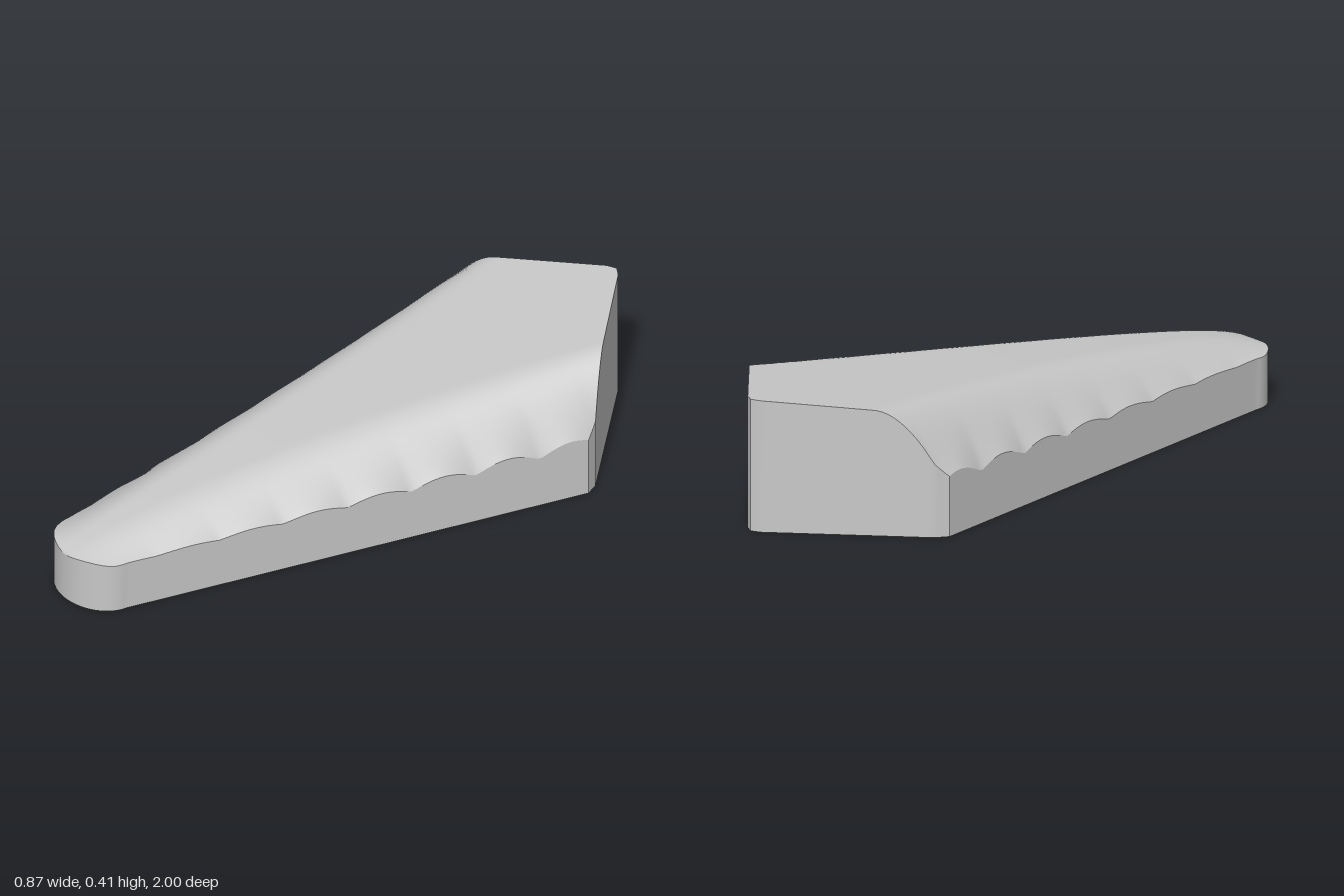
import * as THREE from 'three';
import { toCreasedNormals } from 'three/addons/utils/BufferGeometryUtils.js';

// Half outline as [z, half width]: back tip, back corner, start of the round nose
const OUTLINE = [[-1, 0], [-0.985, 0.03], [-0.635, 0.412], [-0.595, 0.433], [0.88, 0.15]];
const NOSE_STEPS = 16;
const COLUMNS = 56;

const { lerp, clamp } = THREE.MathUtils;
const sideLine = (z) => 0.433 - 0.1919 * (z + 0.595);

// Height of the crowned top: flat middle, rounded shoulders, scalloped lower edge
function topHeight(x, z) {
  const ridge = 0.155 + 0.257 * Math.pow(Math.max(0, (1 - z) / 2), 0.613);
  const back = clamp((0.95 - z) / 1.55, 0, 1);
  const u = Math.min(1, Math.abs(x) / sideLine(z));
  const flat = clamp(0.6 - 0.29 * (z + 0.75), 0.1, 0.6);
  const t = clamp((1 - u) / (1 - flat), 0, 1);
  const rim = 0.157 + 0.042 * back;
  const arch = Math.abs(Math.sin(Math.PI * (z + 0.03) / 0.205));
  const scallop = 0.034 * back * (1 - arch) * Math.pow(1 - t, 5);
  return lerp(Math.min(rim, ridge), ridge, Math.sin(t * Math.PI / 2)) - scallop;
}

// Rows along the length, each with its half width
function makeRows() {
  const rows = [];
  const steps = [2, 30, 4, 110];
  for (let i = 0; i < 4; i++) {
    const [z0, w0] = OUTLINE[i], [z1, w1] = OUTLINE[i + 1];
    for (let k = 0; k < steps[i]; k++) {
      const f = k / steps[i];
      rows.push([lerp(z0, z1, f), lerp(w0, w1, f)]);
    }
  }
  for (let k = 0; k <= NOSE_STEPS; k++) {
    const a = (k / NOSE_STEPS) * Math.PI / 2;
    rows.push([0.88 + 0.12 * Math.sin(a), k === NOSE_STEPS ? 0 : 0.15 * Math.cos(a)]);
  }
  return rows;
}

function gridGeometry(positions, index) {
  const g = new THREE.BufferGeometry();
  g.setAttribute('position', new THREE.Float32BufferAttribute(positions, 3));
  g.setIndex(index);
  return g;
}

function topGeometry(rows) {
  const pos = [], index = [], n = COLUMNS + 1;
  rows.forEach(([z, w], r) => {
    for (let c = 0; c < n; c++) {
      // columns crowd towards the rims
      const x = w * Math.sin((c / COLUMNS - 0.5) * Math.PI);
      pos.push(x, topHeight(x, z), z);
      if (r < rows.length - 1 && c < COLUMNS) {
        const a = r * n + c, b = a + 1, d = a + n, e = d + 1;
        if (w > 0) index.push(a, d, b);
        if (rows[r + 1][1] > 0) index.push(b, d, e);
        else if (c === 0) index.push(b, d, e);
      }
    }
  });
  const g = gridGeometry(pos, index);
  g.computeVertexNormals();
  return g;
}

function wallGeometry(loop) {
  const pos = [], index = [];
  loop.forEach(([x, z], i) => {
    pos.push(x, 0, z, x, topHeight(x, z), z);
    const a = 2 * i, b = 2 * ((i + 1) % loop.length);
    index.push(a, a + 1, b, b, a + 1, b + 1);
  });
  return toCreasedNormals(gridGeometry(pos, index), 0.35);
}

export function createModel() {
  const group = new THREE.Group();
  group.name = 'taperedWedge';
  const grey = new THREE.MeshStandardMaterial({ color: 0xc8c8c8 });
  grey.name = 'light grey';

  const rows = makeRows();
  // Outline loop: +x side from tip to nose, then back along -x
  const loop = rows.map(([z, w]) => [w, z]);
  for (let i = rows.length - 2; i > 0; i--) loop.push([-rows[i][1], rows[i][0]]);

  const add = (name, geometry) => {
    const mesh = new THREE.Mesh(geometry, grey);
    mesh.name = name;
    group.add(mesh);
  };

  add('crownedTop', topGeometry(rows));
  add('sideWall', wallGeometry(loop));

  // Flat underside
  const shape = new THREE.Shape(loop.map(([x, z]) => new THREE.Vector2(x, z)));
  add('underside', new THREE.ShapeGeometry(shape).rotateX(Math.PI / 2));
  return group;
}
